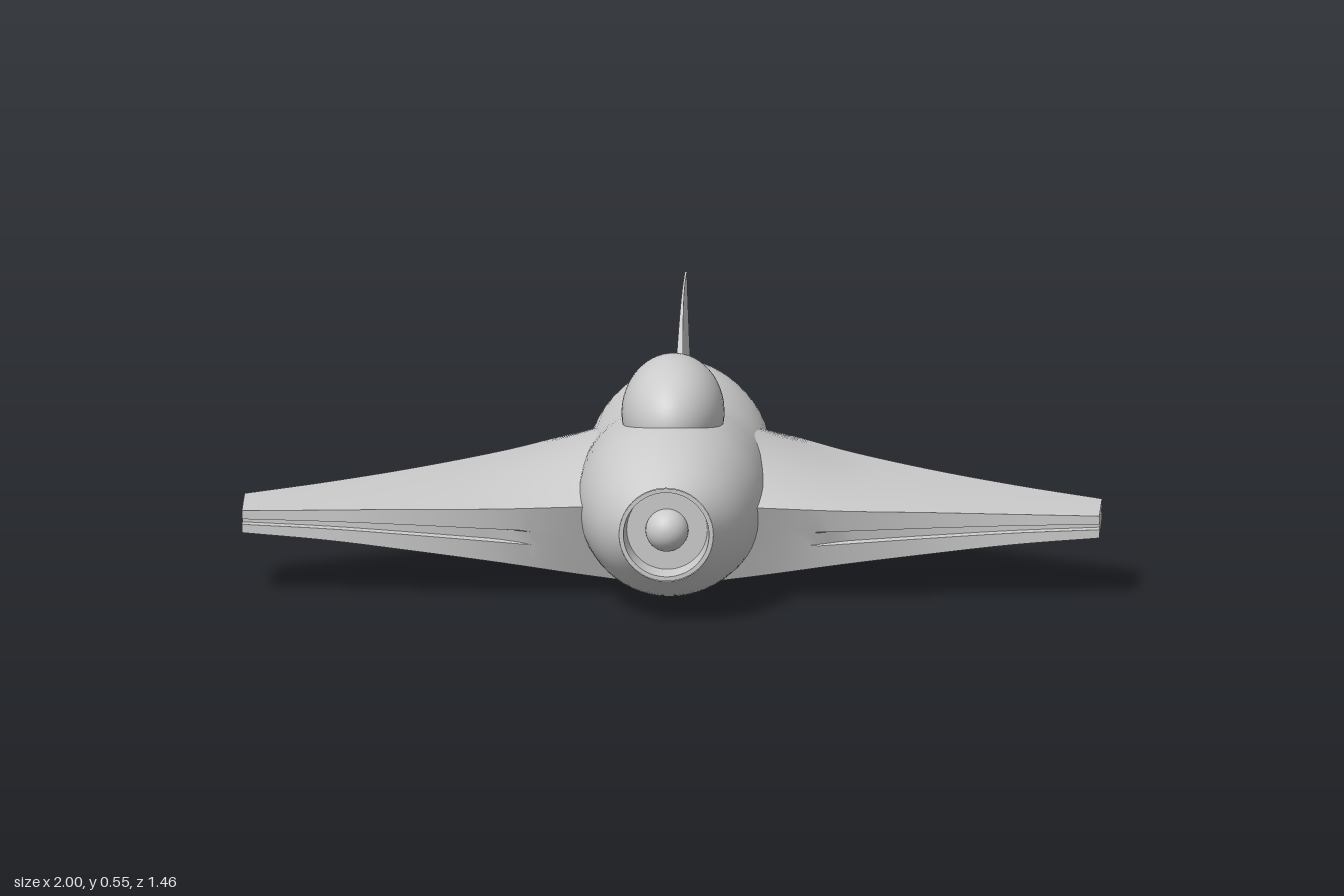
import * as THREE from 'three';
import { toCreasedNormals } from 'three/addons/utils/BufferGeometryUtils.js';

const material = new THREE.MeshStandardMaterial({ color: 0xcccccc, side: THREE.DoubleSide });

function part(group, name, geometry) {
  const mesh = new THREE.Mesh(geometry, material);
  mesh.name = name;
  group.add(mesh);
  return mesh;
}

// Smoothly resamples rows of [position, ...values] into n + 1 rows
function resample(rows, n) {
  const size = rows[0].length - 1;
  const curve = new THREE.CubicInterpolant(
    rows.map(r => r[0]), rows.flatMap(r => r.slice(1)), size, new Array(size));
  const a = rows[0][0], b = rows[rows.length - 1][0];
  return Array.from({ length: n + 1 }, (_, i) => {
    const t = a + (b - a) * i / n;
    return [t, ...curve.evaluate(t)];
  });
}

// Skins a list of closed rings and closes both ends when asked
function loft(rings, capped, crease) {
  const n = rings[0].length, index = [];
  const points = rings.flat();
  for (let i = 0; i < rings.length - 1; i++) {
    for (let j = 0; j < n; j++) {
      const k = (j + 1) % n;
      const a = i * n + j, b = (i + 1) * n + j, c = (i + 1) * n + k, d = i * n + k;
      index.push(a, b, d, b, c, d);
    }
  }
  if (capped) {
    for (const r of [0, rings.length - 1]) {
      const centre = new THREE.Vector3();
      rings[r].forEach(p => centre.addScaledVector(p, 1 / n));
      const c = points.push(centre) - 1;
      for (let j = 0; j < n; j++) {
        const a = r * n + j, b = r * n + (j + 1) % n;
        if (r === 0) index.push(c, a, b);
        else index.push(c, b, a);
      }
    }
  }
  const geometry = new THREE.BufferGeometry().setFromPoints(points);
  geometry.setIndex(index);
  return toCreasedNormals(geometry, crease);
}

// Fuselage: elliptical sections; rows are [distance from nose, half width, top, bottom]
const NOSE = 0.73;
function fuselageGeometry() {
  const rows = resample([
    [0, 0.11, 0.325, 0.103], [0.13, 0.172, 0.377, 0.045], [0.33, 0.214, 0.412, 0.006],
    [0.53, 0.222, 0.41, 0.0], [0.73, 0.222, 0.388, 0.004], [0.93, 0.218, 0.383, 0.018],
    [1.13, 0.2, 0.38, 0.042], [1.25, 0.165, 0.373, 0.075], [1.34, 0.128, 0.358, 0.112],
    [1.415, 0.085, 0.336, 0.164]], 56);
  const rings = rows.map(([d, w, top, bottom]) => Array.from({ length: 56 }, (_, j) => {
    const a = j / 56 * Math.PI * 2;
    return new THREE.Vector3(w * Math.cos(a),
      (top + bottom) / 2 + (top - bottom) / 2 * Math.sin(a), NOSE - d);
  }));
  return loft(rings, false, 0.7);
}

// Wing: rows are [x, leading z, trailing z, leading top, crest,
// trailing top, trailing bottom, leading bottom, setback of the lower lip]
function wingGeometry(mirrored) {
  const rows = resample([
    [0.1, 0.47, -0.45, 0.23, 0.34, 0.24, 0.225, 0.035, 0.08],
    [0.22, 0.465, -0.385, 0.225, 0.29, 0.235, 0.215, 0.052, 0.07],
    [0.4, 0.445, -0.23, 0.215, 0.237, 0.22, 0.19, 0.082, 0.03],
    [0.6, 0.42, -0.06, 0.208, 0.216, 0.212, 0.175, 0.107, 0.01],
    [0.8, 0.405, 0.08, 0.202, 0.206, 0.205, 0.162, 0.13, 0],
    [1, 0.4, 0.205, 0.198, 0.2, 0.2, 0.155, 0.146, 0]], 40);
  const { lerp, smoothstep } = THREE.MathUtils;
  const rings = rows.map(([x, zL, zT, top, crest, tTop, tBottom, bottom, setback]) => {
    const ring = [], steps = 20;
    const add = (y, z) => ring.push(new THREE.Vector3(x, y, z));
    const groove = 0.025 * smoothstep(x, 0.32, 0.42);
    const zB = zL - setback;
    const bump = crest - (top + tTop) / 2;
    for (let i = 0; i <= steps; i++) {
      const s = i / steps;
      add(lerp(top, tTop, s) + bump * Math.sin(Math.PI * s), lerp(zL, zT, s));
    }
    // slot along the trailing edge
    for (const [f, g] of [[0.38, 0], [0.4, 1], [0.6, 1], [0.62, 0]])
      add(lerp(tTop, tBottom, f), zT + groove * g);
    for (let i = 0; i <= steps; i++) {
      const s = 1 - i / steps;
      add(lerp(bottom, tBottom, Math.pow(s, 1.6)), lerp(zB, zT, s));
    }
    // slot along the leading edge
    for (const [f, g] of [[0.38, 0], [0.4, 1], [0.6, 1], [0.62, 0]])
      add(lerp(bottom, top, f), lerp(zB, zL, f) - groove * g);
    return ring;
  });
  if (mirrored) {
    rings.forEach(r => r.forEach(p => { p.x *= -1; }));
    rings.reverse();
  }
  return loft(rings, true, 0.6);
}

// Fin: swept outline extruded, thinning toward the top
function finGeometry() {
  const shape = new THREE.Shape();
  shape.moveTo(0.19, 0.375);
  shape.splineThru([[0.26, 0.43], [0.35, 0.487], [0.45, 0.527], [0.57, 0.546]]
    .map(p => new THREE.Vector2(...p)));
  shape.lineTo(0.725, 0.546);
  shape.quadraticCurveTo(0.685, 0.47, 0.68, 0.33);
  shape.lineTo(0.19, 0.33);
  const geometry = new THREE.ExtrudeGeometry(shape, { depth: 0.024, bevelEnabled: false, curveSegments: 10 });
  geometry.translate(0, 0, -0.012);
  geometry.rotateY(Math.PI / 2);
  const p = geometry.attributes.position;
  for (let i = 0; i < p.count; i++)
    p.setX(i, p.getX(i) * THREE.MathUtils.mapLinear(p.getY(i), 0.33, 0.546, 1, 0.2));
  geometry.computeVertexNormals();
  return geometry;
}

// Turned part whose axis points along +z; profile is [radius, z]
function turned(profile) {
  const geometry = new THREE.LatheGeometry(profile.map(p => new THREE.Vector2(...p)), 48);
  return toCreasedNormals(geometry.rotateX(Math.PI / 2), 0.6);
}

export function createModel() {
  const group = new THREE.Group();
  group.name = 'aircraft';

  part(group, 'fuselage', fuselageGeometry());
  part(group, 'leftWing', wingGeometry(false));
  part(group, 'rightWing', wingGeometry(true));
  part(group, 'tailFin', finGeometry());

  const canopy = part(group, 'canopy', new THREE.SphereGeometry(1, 48, 32));
  canopy.scale.set(0.12, 0.135, 0.208);
  canopy.position.set(0, 0.404, 0.228);

  // Nose intake: thin lip, recessed bowl and a round centre body
  const intake = part(group, 'noseIntake', turned([[0, -0.06], [0.094, -0.06], [0.1, 0], [0.11, 0]]));
  intake.position.set(0, 0.214, NOSE);
  const spinner = part(group, 'intakeCentreBody', new THREE.SphereGeometry(0.05, 32, 20));
  spinner.position.set(0, 0.214, NOSE - 0.055);

  // Rear exhaust: flat rim around a shallow dome
  const exhaust = part(group, 'exhaustDome', turned(
    [[0.086, 0], [0.074, 0], [0.072, 0.006], [0.069, 0], [0.055, -0.008], [0.03, -0.015], [0, -0.018]]));
  exhaust.position.set(0, 0.25, NOSE - 1.415);

  return group;
}
